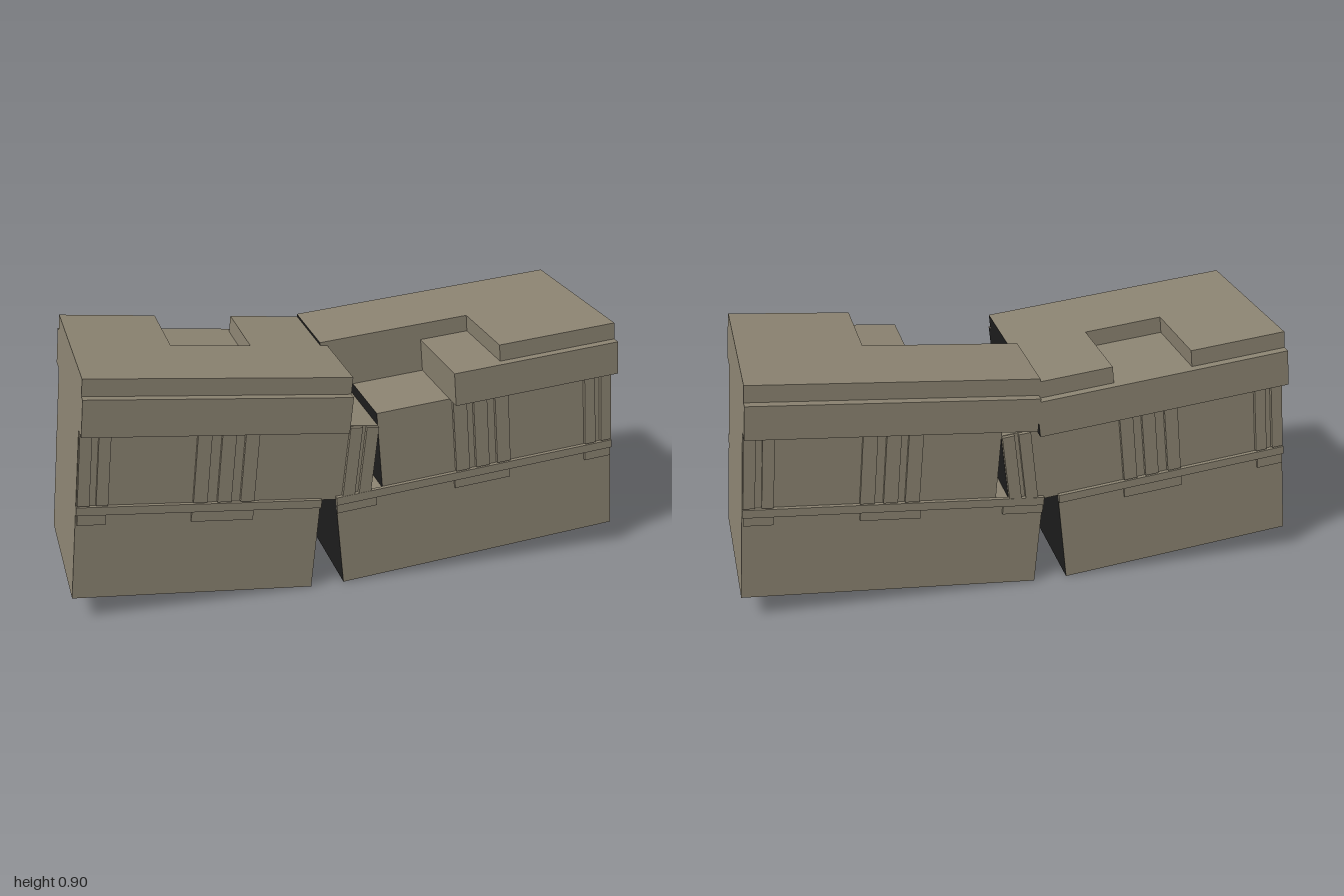
import * as THREE from 'three';

const stone = new THREE.MeshStandardMaterial({ color: 0x8b8371 });
stone.name = 'stone';
const crackDark = new THREE.MeshStandardMaterial({ color: 0x1e1e1e });
crackDark.name = 'crack interior';

// Box from ranges along, up and deep; cut names the broken end ('+' or '-')
function block(group, name, [u0, u1], [v0, v1], [z0, z1], cut) {
  const geo = new THREE.BoxGeometry(u1 - u0, v1 - v0, z1 - z0);
  geo.translate((u0 + u1) / 2, (v0 + v1) / 2, (z0 + z1) / 2);
  let mat = stone;
  if (cut) {
    mat = Array(6).fill(stone);
    mat[cut === '+' ? 0 : 1] = crackDark;
  }
  const mesh = new THREE.Mesh(geo, mat);
  mesh.name = name;
  group.add(mesh);
}

// The same relief part on the front and back faces
function bothSides(group, name, u, v, z0, z1) {
  block(group, name + 'Front', u, v, [z0, z1]);
  block(group, name + 'Back', u, v, [-z1, -z0]);
}

// Row of upright ribs
function ribs(group, starts, width) {
  for (const u of starts) bothSides(group, 'rib', [u, u + width], [0.352, 0.618], 0.28, 0.294);
}

const BODY = [-0.28, 0.28], CORNICE = [-0.345, 0.345], CAP = [-0.315, 0.315];

function rightHandHalf() {
  const g = new THREE.Group();
  g.name = 'leftHalf';
  const L = 1.044;
  block(g, 'base', [0, L], [0, 0.342], BODY, '-');
  block(g, 'wall', [0.172, L], [0.342, 0.63], BODY, '-');
  // cornice, broken away at the front
  block(g, 'corniceBack', [0.065, L], [0.63, 0.75], [-0.345, 0], '-');
  block(g, 'corniceFront', [0.437, L], [0.63, 0.75], [0, 0.345]);
  // cap, broken further back
  block(g, 'capBack', [0.065, L], [0.75, 0.81], [-0.315, 0], '-');
  block(g, 'capFront', [0.615, L], [0.75, 0.81], [0, 0.315]);
  // ledge, brackets and ribs
  bothSides(g, 'ledge', [0, L], [0.318, 0.348], 0.28, 0.295);
  for (const u of [[0, 0.145], [0.438, 0.647], [0.94, 1.04]])
    bothSides(g, 'bracket', u, [0.285, 0.318], 0.28, 0.29);
  ribs(g, [0.445, 0.52, 0.6], 0.05);
  ribs(g, [0.94, 1.002], 0.04);
  g.position.set(-0.04, 0.004, 0);
  g.rotation.z = 0.0865;
  return g;
}

function leftHandHalf() {
  const g = new THREE.Group();
  g.name = 'rightHalf';
  block(g, 'base', [0, 0.845], [0, 0.342], BODY, '+');
  block(g, 'wall', [0, 1.022], [0.342, 0.62], BODY, '+');
  block(g, 'cornice', [0, 0.9], [0.62, 0.75], CORNICE, '+');
  // cap with a missing merlon at the back
  block(g, 'capFront', [0, 0.9], [0.75, 0.81], [0, CAP[1]], '+');
  block(g, 'capBackOuter', [0, 0.34], [0.75, 0.81], [CAP[0], 0]);
  block(g, 'capBackInner', [0.62, 0.9], [0.75, 0.81], [CAP[0], 0], '+');
  // ledge, brackets and ribs
  bothSides(g, 'ledge', [0, 0.845], [0.318, 0.348], 0.28, 0.295);
  for (const u of [[0.005, 0.1], [0.39, 0.605]])
    bothSides(g, 'bracket', u, [0.28, 0.318], 0.28, 0.29);
  ribs(g, [0.003, 0.065], 0.04);
  ribs(g, [0.392, 0.475, 0.555], 0.048);
  ribs(g, [0.92, 0.978], 0.043);
  g.position.set(-1, 0.0945, 0);
  g.rotation.z = -0.107;
  return g;
}

export function createModel() {
  const model = new THREE.Group();
  model.name = 'brokenWall';
  model.add(leftHandHalf(), rightHandHalf());
  return model;
}
